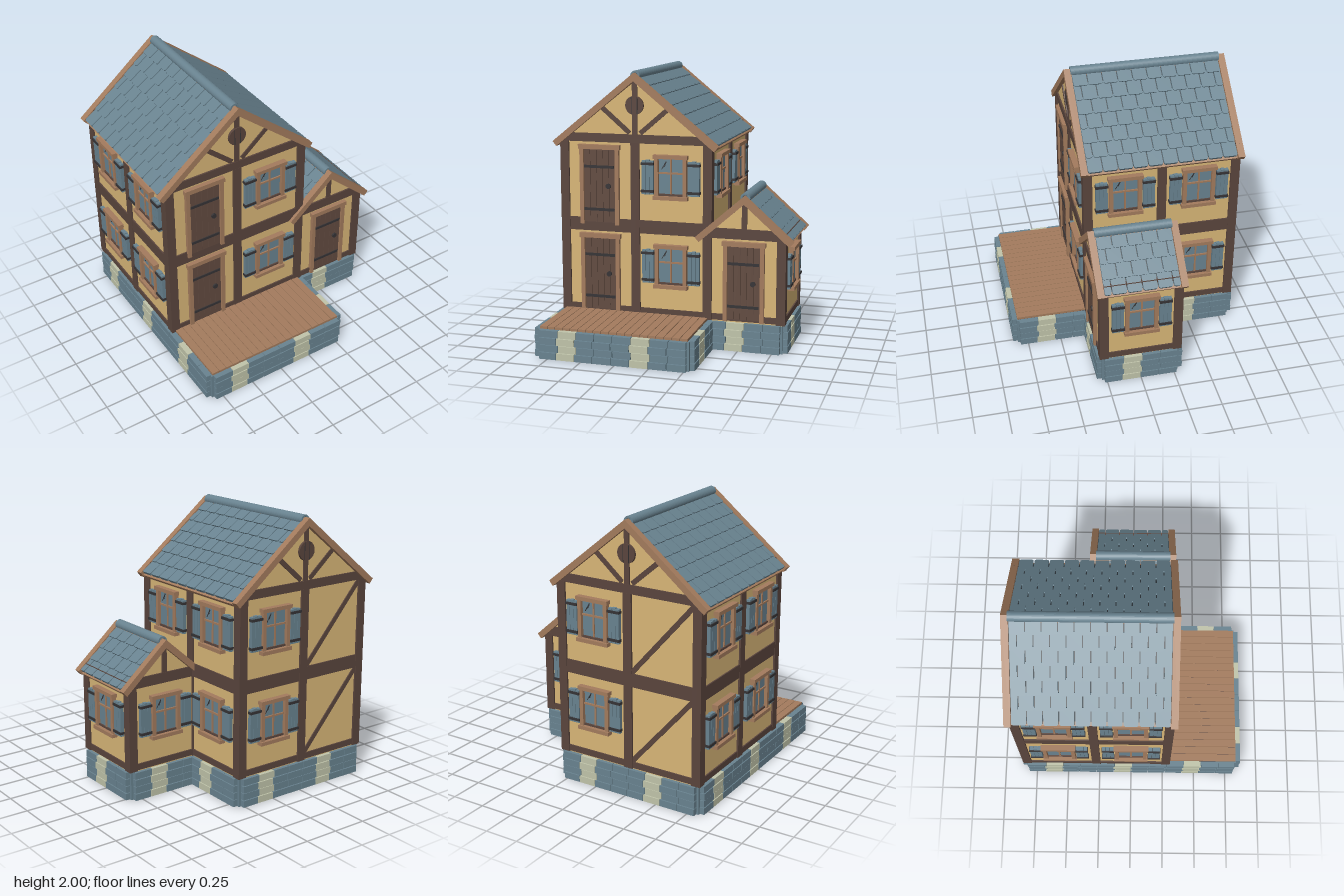
import * as THREE from 'three';

const paint = (name, color) => {
  const m = new THREE.MeshStandardMaterial({ color });
  m.name = name;
  return m;
};
const M = {
  plaster: paint('tan plaster', 0xd8b677),
  beam: paint('dark timber', 0x5a453d),
  door: paint('door wood', 0x624b40),
  trim: paint('light timber', 0xa37b5d),
  slate: paint('blue slate', 0x698390),
  stone: paint('pale stone', 0xc0c4aa),
  iron: paint('black iron', 0x353335),
  mortar: paint('roof underlay', 0x343d43),
};
const CELL = 0.54, H = CELL / 2;

function add(parent, name, geo, mat) {
  const mesh = new THREE.Mesh(geo, mat);
  mesh.name = name;
  parent.add(mesh);
  return mesh;
}
// Box given by its limits on each axis
function box(parent, name, mat, x0, x1, y0, y1, z0, z1) {
  const mesh = add(parent, name, new THREE.BoxGeometry(x1 - x0, y1 - y0, z1 - z0), mat);
  mesh.position.set((x0 + x1) / 2, (y0 + y1) / 2, (z0 + z1) / 2);
  return mesh;
}
// Flat strut between two points in an upright plane
function strut(parent, name, mat, ax, ay, bx, by, width, z0, z1) {
  const len = Math.hypot(bx - ax, by - ay);
  const mesh = add(parent, name, new THREE.BoxGeometry(len, width, z1 - z0), mat);
  mesh.position.set((ax + bx) / 2, (ay + by) / 2, (z0 + z1) / 2);
  mesh.rotation.z = Math.atan2(by - ay, bx - ax);
  return mesh;
}
function group(parent, name, x = 0, y = 0, z = 0, rotY = 0) {
  const g = new THREE.Group();
  g.name = name;
  g.position.set(x, y, z);
  g.rotation.y = rotY;
  parent.add(g);
  return g;
}

function shutteredWindow(g) {
  box(g, 'windowGlass', M.slate, -0.1, 0.1, 0.23, 0.51, 0.015, 0.028);
  box(g, 'windowLintel', M.trim, -0.128, 0.128, 0.505, 0.532, 0.01, 0.063);
  box(g, 'windowSill', M.trim, -0.128, 0.128, 0.208, 0.235, 0.01, 0.065);
  box(g, 'lowerSash', M.beam, -0.095, 0.095, 0.235, 0.25, 0.015, 0.038);
  box(g, 'mullion', M.trim, -0.006, 0.006, 0.25, 0.51, 0.015, 0.036);
  box(g, 'crossBar', M.trim, -0.095, 0.095, 0.394, 0.407, 0.015, 0.038);
  for (const k of [0, 1])
    strut(g, 'glassGlint', M.iron, -0.07 + k * 0.02, 0.425 + k * 0.02, -0.035, 0.485 - k * 0.005, 0.005, 0.026, 0.03);
  for (const s of [-1, 1]) {
    const cx = s * 0.172;
    box(g, 'windowJamb', M.trim, s * 0.105 - 0.014, s * 0.105 + 0.014, 0.235, 0.505, 0.01, 0.053);
    for (let i = -1; i <= 1; i++)
      box(g, 'shutterSlat', M.slate, cx + i * 0.029 - 0.0135, cx + i * 0.029 + 0.0135, 0.242, 0.492 - Math.abs(i) * 0.005, 0.015, 0.048);
    for (const y of [0.266, 0.465])
      box(g, 'shutterStrap', M.iron, cx - 0.047, cx + 0.047, y - 0.009, y + 0.009, 0.02, 0.056);
  }
}

function plankDoor(g) {
  box(g, 'doorBacking', M.beam, -0.12, 0.12, 0.01, 0.55, 0.015, 0.024);
  for (let i = -2; i <= 2; i++)
    box(g, 'doorPlank', M.door, i * 0.048 - 0.0225, i * 0.048 + 0.0225, 0.015, 0.545, 0.018, 0.034);
  for (const y of [0.11, 0.425]) box(g, 'doorStrap', M.iron, -0.118, 0.112, y - 0.01, y + 0.01, 0.02, 0.04);
  const knob = add(g, 'doorKnob', new THREE.CylinderGeometry(0.019, 0.019, 0.014, 12), M.iron);
  knob.rotation.x = Math.PI / 2;
  knob.position.set(0.068, 0.285, 0.04);
  for (const s of [-1, 1])
    box(g, 'doorJamb', M.trim, s * 0.135 - 0.015, s * 0.135 + 0.015, 0, 0.555, 0.01, 0.047);
  box(g, 'doorLintel', M.trim, -0.158, 0.158, 0.553, 0.587, 0.01, 0.053);
}

// One framed wall bay, facing local +z
function bay(parent, kind, x, z, rotY, y) {
  const g = group(parent, kind + 'Bay', x, y, z, rotY);
  box(g, 'sillBeam', M.beam, -H, H, 0, 0.045, -0.02, 0.03);
  if (y < 0.5) box(g, 'headBeam', M.beam, -H, H, 0.603, 0.655, -0.02, 0.03);
  if (kind === 'window') shutteredWindow(g);
  else if (kind === 'door') plankDoor(g);
  else strut(g, 'diagonalBrace', M.beam, -0.24, 0.05, 0.24, 0.6, 0.035, 0, 0.028);
}

// Solid plaster block with a gabled top
function body(parent, name, cx, zc, halfW, halfD, eaveY, apexY) {
  const s = new THREE.Shape([[-halfW, 0.21], [halfW, 0.21], [halfW, eaveY], [0, apexY], [-halfW, eaveY]]
    .map(([x, y]) => new THREE.Vector2(x, y)));
  const geo = new THREE.ExtrudeGeometry(s, { depth: halfD * 2, bevelEnabled: false });
  add(parent, name, geo, M.plaster).position.set(cx, 0, zc - halfD);
}

// Slate with slightly clipped lower corners, running down local +x
function slateGeometry(len, w) {
  const h = w / 2, c = 0.009;
  const s = new THREE.Shape([[0, -h], [len - c, -h], [len, -h + c], [len, h - c], [len - c, h], [0, h]]
    .map(([x, y]) => new THREE.Vector2(x, y)));
  return new THREE.ExtrudeGeometry(s, { depth: 0.02, bevelEnabled: false }).rotateX(-Math.PI / 2);
}

function roof(parent, name, cx, apexY, zc, run, drop, halfD, rows, cols) {
  const top = group(parent, name, cx, apexY, zc);
  const L = Math.hypot(run, drop), pitch = (L - 0.045) / rows, w = (halfD * 2) / cols;
  const full = slateGeometry(pitch + 0.022, w - 0.008);
  const half = slateGeometry(pitch + 0.022, w / 2 - 0.008);
  for (const turn of [0, Math.PI]) {
    const slope = group(group(top, 'roofSide', 0, 0, 0, turn), 'slope');
    slope.rotation.z = -Math.atan2(drop, run);
    box(slope, 'roofBoard', M.trim, 0, L - 0.006, -0.053, -0.03, -halfD, halfD);
    box(slope, 'roofUnderlay', M.mortar, 0, L - 0.04, -0.035, -0.022, -halfD, halfD);
    for (const s of [-1, 1])
      box(slope, 'gableBoard', M.trim, 0, L, -0.045, 0, s * (halfD + 0.025) - 0.025, s * (halfD + 0.025) + 0.025);
    for (let r = 0; r < rows; r++) {
      const odd = r % 2;
      for (let i = 0; i < cols + odd; i++) {
        const edge = odd && (i === 0 || i === cols);
        const tile = add(slope, 'slate', edge ? half : full, M.slate);
        const shift = edge ? (i === 0 ? w / 4 : -w / 4) : 0;
        tile.position.set(0.03 + r * pitch - 0.022, -0.03, -halfD + (i + (odd ? 0 : 0.5)) * w + shift);
        tile.rotation.z = 0.085;
      }
    }
  }
  // Rounded ridge capping
  const arch = new THREE.Shape();
  arch.absarc(0, 0, 0.036, -0.5, Math.PI + 0.5, false);
  arch.absarc(0, 0, 0.022, Math.PI + 0.5, -0.5, true);
  const cap = new THREE.ExtrudeGeometry(arch, { depth: halfD * 2 + 0.01, bevelEnabled: false, curveSegments: 10 });
  add(top, 'ridgeCap', cap, M.slate).position.set(0, -0.021, -halfD - 0.005);
}

// Timber framing of a gable, facing local +z
function gable(parent, x, z, rotY, halfW, baseY, beamTop, apexY, large) {
  const g = group(parent, 'gableFrame', x, 0, z, rotY);
  box(g, 'gableBeam', M.beam, -halfW, halfW, baseY, beamTop, 0, 0.032);
  box(g, 'kingPost', M.beam, -0.019, 0.019, beamTop, apexY, 0, 0.03);
  if (!large) return;
  for (const s of [-1, 1]) strut(g, 'gableStrut', M.beam, s * 0.04, 1.555, s * 0.25, 1.735, 0.034, 0, 0.028);
  const vent = add(g, 'roundVent', new THREE.CylinderGeometry(0.068, 0.068, 0.03, 20), M.beam);
  vent.rotation.x = Math.PI / 2;
  vent.position.set(0, 1.755, 0.022);
  for (const s of [-1, 1]) box(g, 'ventSlot', M.iron, s * 0.022 - 0.002, s * 0.022 + 0.002, 1.695, 1.815, 0.034, 0.039);
}

// Four courses of stone along a wall, facing local +z
function stoneRun(parent, x, z, rotY, cells) {
  const g = group(parent, 'stoneCourses', x, 0, z, rotY);
  const n = cells * 4, step = CELL / 4, start = -cells * H;
  for (let r = 0; r < 4; r++) {
    const joint = i => start + i * step + (i === 0 || i === n ? 0 : (r % 2 ? 0.009 : -0.004));
    for (let i = 0; i < n; i++)
      box(g, 'stone', i % 4 === 1 ? M.stone : M.slate, joint(i) + 0.002, joint(i + 1) - 0.002,
        r * 0.0535 + 0.002, r * 0.0535 + 0.051, -0.01, r % 2 ? 0.047 : 0.05);
  }
}

export function createModel() {
  const house = new THREE.Group();
  house.name = 'timberHouse';
  const R = Math.PI / 2, B = Math.PI;

  // Foundation, with stones stopping short of each outer corner
  const base = group(house, 'foundation');
  box(base, 'mainCore', M.slate, -0.825, 0.285, 0, 0.21, -0.825, 0.825);
  box(base, 'wingCore', M.slate, 0.27, 0.825, 0, 0.209, -0.285, 0.285);
  for (const [x, z, rot, n] of [[-0.27, 0.81, 0, 2], [0.27, 0.54, R, 1], [0.54, 0.27, 0, 1], [0.81, 0, R, 1],
    [0.54, -0.27, B, 1], [0.27, -0.54, R, 1], [-0.27, -0.81, B, 2], [-0.81, 0, -R, 3]])
    stoneRun(base, x, z, rot, n);

  // Porch floor
  const porch = group(house, 'porchFloor');
  const planks = 19, pw = 1.09 / planks;
  box(porch, 'floorJoists', M.beam, -0.813, 0.273, 0.205, 0.218, 0.28, 0.815);
  for (let i = 0; i < planks; i++)
    box(porch, 'floorPlank', M.trim, -0.815 + i * pw + 0.002, -0.815 + (i + 1) * pw - 0.002, 0.212, 0.23, 0.28, 0.82);

  // Walls
  body(house, 'mainWalls', -0.27, -0.27, 0.56, 0.56, 1.48, 1.925);
  body(house, 'wingWalls', 0.54, 0, 0.29, 0.29, 0.84, 1.085);

  // Upright posts
  const posts = group(house, 'posts');
  for (const [x, z] of [[-0.81, 0.27], [-0.27, 0.27], [0.27, 0.27], [0.81, 0.27], [-0.81, -0.27], [-0.81, -0.81],
    [-0.27, -0.81], [0.27, -0.81], [0.27, -0.27], [0.81, -0.27]])
    box(posts, 'post', M.beam, x - 0.033, x + 0.033, 0.215, x > 0.5 ? 0.85 : 1.485, z - 0.033, z + 0.033);

  // Bays of the two storeys
  for (const y of [0.222, 0.877]) {
    const storey = group(house, y < 0.5 ? 'groundStorey' : 'upperStorey');
    bay(storey, 'door', -0.54, 0.27, 0, y);
    bay(storey, 'window', 0, 0.27, 0, y);
    bay(storey, 'window', 0.27, -0.54, R, y);
    bay(storey, 'window', 0, -0.81, B, y);
    bay(storey, 'brace', -0.54, -0.81, B, y);
    bay(storey, 'window', -0.81, -0.54, -R, y);
    bay(storey, 'window', -0.81, 0, -R, y);
    if (y > 0.5) bay(storey, 'window', 0.27, 0, R, y);
  }
  const wing = group(house, 'wing');
  bay(wing, 'door', 0.54, 0.27, 0, 0.222);
  bay(wing, 'window', 0.81, 0, R, 0.222);
  bay(wing, 'window', 0.54, -0.27, B, 0.222);

  // Gables and roofs
  for (const [z, rot] of [[0.27, 0], [-0.81, B]]) gable(house, -0.27, z, rot, 0.54, 1.483, 1.545, 1.94, true);
  for (const [z, rot] of [[0.27, 0], [-0.27, B]]) gable(house, 0.54, z, rot, 0.265, 0.868, 0.9, 1.1, false);
  roof(house, 'mainRoof', -0.272, 1.985, -0.27, 0.623, 0.506, 0.542, 7, 10);
  roof(house, 'wingRoof', 0.54, 1.142, 0, 0.358, 0.315, 0.273, 4, 5);
  return house;
}
